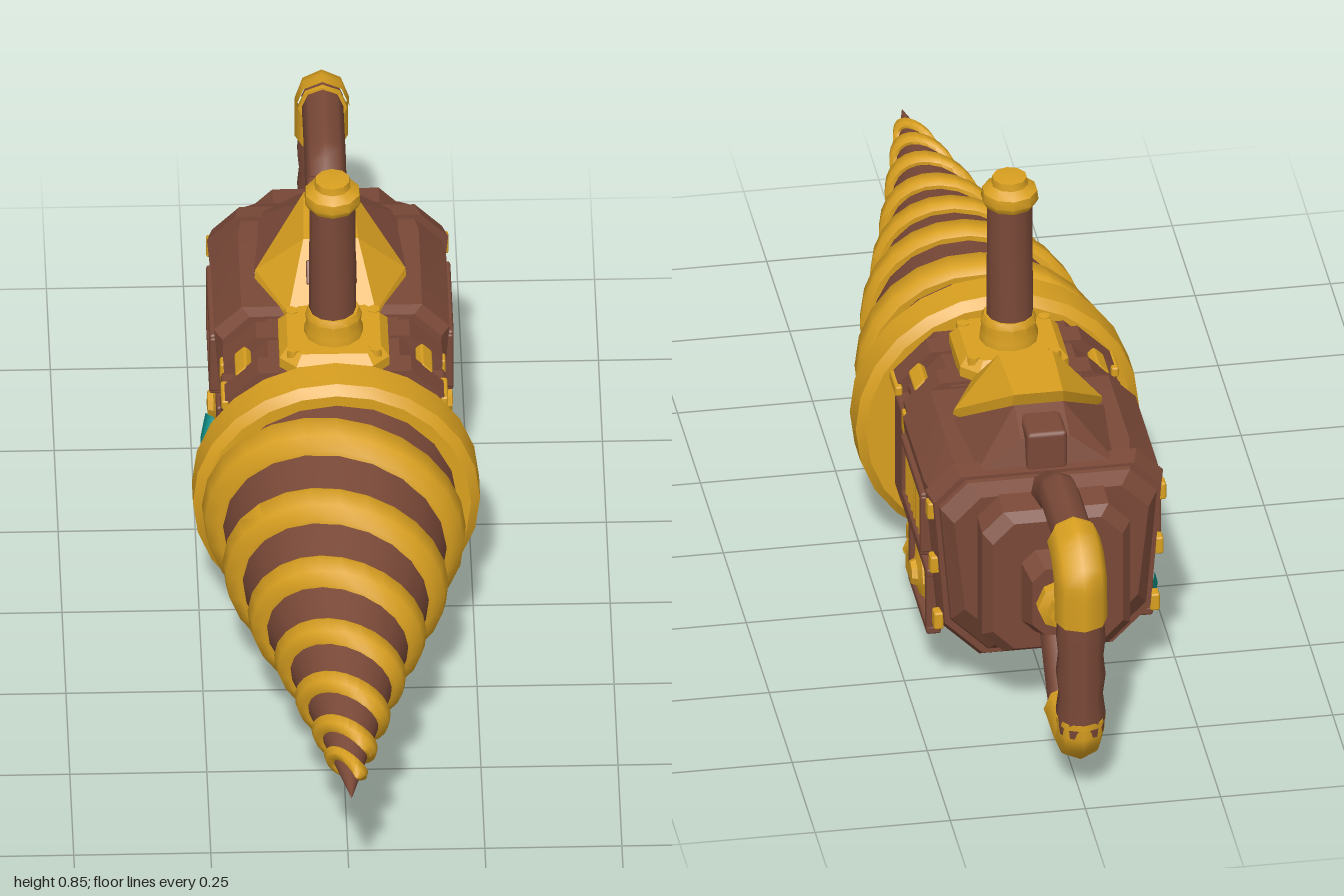
import * as THREE from 'three';
import { toCreasedNormals } from 'three/addons/utils/BufferGeometryUtils.js';
import { RoundedBoxGeometry } from 'three/addons/geometries/RoundedBoxGeometry.js';
import { ConvexGeometry } from 'three/addons/geometries/ConvexGeometry.js';

const V = (x, y, z) => new THREE.Vector3(x, y, z);

// Skin a list of equal-length point rings and cap both ends
function loft(rings, crease) {
  const out = [], n = rings[0].length;
  const tri = (...ps) => ps.forEach(p => out.push(p.x, p.y, p.z));
  for (let i = 0; i < rings.length - 1; i++) {
    for (let j = 0; j < n; j++) {
      const k = (j + 1) % n, A = rings[i], B = rings[i + 1];
      tri(A[j], A[k], B[k]);
      tri(A[j], B[k], B[j]);
    }
  }
  const s = rings[0], e = rings[rings.length - 1];
  for (let j = 1; j < n - 1; j++) {
    tri(s[0], s[j + 1], s[j]);
    tri(e[0], e[j], e[j + 1]);
  }
  const g = new THREE.BufferGeometry();
  g.setAttribute('position', new THREE.Float32BufferAttribute(out, 3));
  return toCreasedNormals(g, crease);
}

// Chamfered rectangle at depth z; inset narrows the lower half
const octagon = ([z, w, y0, y1, c, inset = 0]) => {
  const b = w - inset, d = c + inset;
  return [V(b, y0 + d, z), V(w, y1 - c, z), V(w - c, y1, z), V(c - w, y1, z),
    V(-w, y1 - c, z), V(-b, y0 + d, z), V(d - b, y0, z), V(b - d, y0, z)];
};

// Core radius of the drill along its axis
const core = [[0, 0.227], [0.25, 0.187], [0.4, 0.149], [0.55, 0.105], [0.75, 0.058], [1, 0]];
function coreRadius(z) {
  let i = 1;
  while (i < core.length - 1 && core[i][0] < z) i++;
  const [a, b] = [core[i - 1], core[i]];
  return THREE.MathUtils.mapLinear(z, a[0], b[0], a[1], b[1]);
}

export function createModel() {
  const model = new THREE.Group();
  const material = (name, color) => {
    const m = new THREE.MeshStandardMaterial({ color });
    m.name = name;
    return m;
  };
  const brown = material('brown', 0x7a4938);
  const gold = material('gold', 0xd9a020);
  const teal = material('teal', 0x0b8a82);

  const add = (name, geo, mat, x = 0, y = 0, z = 0, parent = model) => {
    const m = new THREE.Mesh(geo, mat);
    m.name = name;
    m.position.set(x, y, z);
    parent.add(m);
    return m;
  };
  const box = (name, mat, w, h, d, x, y, z, r = 0.008) =>
    add(name, new RoundedBoxGeometry(w, h, d, 1, r), mat, x, y, z);
  const lathe = (name, mat, pts, sides, x, y, z) =>
    add(name, toCreasedNormals(new THREE.LatheGeometry(pts.map(p => new THREE.Vector2(...p)), sides), 0.7), mat, x, y, z);
  const tube = (name, mat, pts, r, sides = 8) => {
    const curve = new THREE.CatmullRomCurve3(pts.map(p => V(...p)), false, 'catmullrom', 0.2);
    return add(name, new THREE.TubeGeometry(curve, 16, r, sides), mat);
  };

  // Drill: tapered core pointing slightly upward
  const drill = new THREE.Group();
  drill.name = 'drill';
  drill.position.set(0, 0.265, 0);
  drill.rotation.x = -0.035;
  model.add(drill);
  const coreGeo = new THREE.LatheGeometry(core.map(([z, r]) => new THREE.Vector2(r, z)), 20);
  add('drillCore', coreGeo, brown, 0, 0, 0, drill).rotation.x = Math.PI / 2;

  // Slanted cutting ridges around the core
  for (const z0 of [0.108, 0.285, 0.44, 0.58, 0.705, 0.81, 0.89]) {
    const s = 1 - 0.68 * z0, w = 0.046 * s, tilt = 1 - 0.3 * z0;
    const sections = [];
    for (let i = 0; i <= 24; i++) {
      const a = -i * Math.PI / 12;
      const z = z0 + tilt * (0.042 * Math.cos(a) + 0.03 * Math.sin(a));
      const at = (dz, dr) => {
        const r = Math.max(0.002, coreRadius(z + dz) + dr);
        return V(Math.cos(a) * r, Math.sin(a) * r, z + dz);
      };
      sections.push([at(-0.6 * w, 0.028 * s), at(0.5 * w, 0.031 * s), at(w, 0.01 * s),
        at(w, -0.02 * s), at(-w, -0.02 * s), at(-w, 0.012 * s)]);
    }
    add('drillRidge', loft(sections, 0.8), gold, 0, 0, 0, drill);
  }

  // Collar behind the drill
  lathe('collar', gold, [[0, -0.055], [0.245, -0.055], [0.262, -0.04], [0.262, 0.025], [0.245, 0.04], [0, 0.04]],
    24, 0, 0.262, 0).rotation.x = Math.PI / 2;

  // Motor housing
  add('housing', loft([[-0.63, 0.18, 0.15, 0.455, 0.05, 0.02], [-0.6, 0.2, 0.115, 0.47, 0.05, 0.02],
    [-0.51, 0.215, 0.055, 0.478, 0.05, 0.025], [-0.28, 0.215, 0.053, 0.478, 0.05, 0.025],
    [-0.26, 0.2, 0.07, 0.47, 0.05, 0.02]].map(octagon), 0.3), brown);
  add('rearPlate', loft([[-0.7, 0.12, 0.17, 0.435, 0.04], [-0.68, 0.137, 0.155, 0.45, 0.04],
    [-0.6, 0.137, 0.155, 0.46, 0.04]].map(octagon), 0.3), brown);
  add('rearHub', loft([[-0.745, 0.055, 0.22, 0.36, 0.025], [-0.69, 0.07, 0.2, 0.38, 0.025]].map(octagon), 0.3), brown);
  add('neck', loft([[-0.27, 0.18, 0.05, 0.465, 0.06], [-0.04, 0.18, 0.05, 0.465, 0.06]].map(octagon), 0.3), brown);
  for (const z of [-0.22, -0.11]) {
    add('neckRib', loft([[z - 0.025, 0.2, 0.035, 0.47, 0.06, 0.02], [z + 0.025, 0.2, 0.035, 0.47, 0.06, 0.02]].map(octagon), 0.3), brown);
  }
  add('housingBand', loft([[-0.59, 0.21, 0.1, 0.477, 0.05, 0.02], [-0.55, 0.22, 0.075, 0.483, 0.05, 0.025]].map(octagon), 0.3), brown);

  // Rear bolt
  lathe('rearBolt', gold, [[0, 0], [0.048, 0], [0.048, 0.03], [0.03, 0.036], [0.03, 0.062], [0, 0.068]],
    8, 0, 0.29, -0.735).rotation.x = -Math.PI / 2;

  // Faceted hood on top, gold in front and brown behind
  const mirrored = pts => pts.flatMap(([x, y, z]) => [V(x, y, z), V(-x, y, z)]);
  const hull = pts => toCreasedNormals(new ConvexGeometry(mirrored(pts)), 0.2);
  add('hood', hull([[0.08, 0.46, -0.25], [0.14, 0.46, -0.36], [0.137, 0.492, -0.375], [0.08, 0.482, -0.252],
    [0.05, 0.582, -0.345], [0.045, 0.582, -0.49], [0.06, 0.46, -0.45]]), gold);
  add('hoodBack', hull([[0.16, 0.46, -0.36], [0.14, 0.46, -0.58], [0.1, 0.495, -0.42], [0.045, 0.56, -0.49],
    [0.08, 0.485, -0.57], [0.045, 0.53, -0.56]]), brown);
  box('hoodBlock', brown, 0.075, 0.08, 0.09, 0, 0.512, -0.54);

  // Front upright handle on its plate
  add('handlePlate', loft([[-0.08, 0.1, -0.09, 0.09, 0.03], [-0.03, 0.1, -0.09, 0.09, 0.03],
    [-0.012, 0.085, -0.075, 0.075, 0.025]].map(octagon), 0.3), gold, 0, 0.52, -0.165).rotation.x = -Math.PI / 2;
  for (const x of [-0.075, 0.075]) for (const z of [-0.225, -0.105]) {
    add('plateBolt', new THREE.CylinderGeometry(0.012, 0.014, 0.02, 6), gold, x, 0.5, z);
  }
  lathe('handleBase', gold, [[0.054, -0.02], [0.054, 0], [0.05, 0.012], [0.052, 0.028], [0.046, 0.04], [0, 0.042]], 12, 0, 0.52, -0.163);
  lathe('uprightGrip', brown, [[0.043, 0], [0.042, 0.25]], 12, -0.002, 0.55, -0.163);
  lathe('handleCap', gold, [[0, 0], [0.046, 0], [0.053, 0.012], [0.051, 0.03], [0.034, 0.042], [0.032, 0.056], [0, 0.06]],
    10, -0.002, 0.793, -0.163);

  // Rear loop handle
  tube('loopTop', brown, [[0, 0.43, -0.58], [0, 0.455, -0.63], [0, 0.498, -0.705], [0, 0.5, -0.78], [0, 0.5, -0.9]], 0.038);
  tube('loopUpperCorner', gold, [[0, 0.497, -0.87], [0, 0.49, -0.91], [0, 0.455, -0.947], [0, 0.38, -0.949]], 0.049);
  lathe('rearGrip', brown, [[0.042, 0], [0.046, 0.04], [0.041, 0.08], [0.046, 0.12], [0.042, 0.16], [0.046, 0.2], [0.042, 0.25]],
    10, 0, 0.14, -0.948);
  tube('loopLowerCorner', gold, [[0, 0.165, -0.949], [0, 0.135, -0.946], [0, 0.106, -0.915], [0, 0.104, -0.815]], 0.044);
  tube('loopBottom', brown, [[0, 0.235, -0.67], [0, 0.2, -0.715], [0, 0.115, -0.79], [0, 0.1, -0.86]], 0.035);
  for (const [r, y] of [[0.049, 0.38], [0.046, 0.165]]) {
    add('gripEnd', new THREE.CylinderGeometry(r, r, 0.012, 8), gold, 0, y, -0.949);
  }
  for (const [y, z] of [[0.497, -0.87], [0.104, -0.815]]) {
    add('cornerEnd', new THREE.CylinderGeometry(0.045, 0.045, 0.01, 8), gold, 0, y, z).rotation.x = Math.PI / 2;
  }

  // Details repeated on both sides
  for (const s of [-1, 1]) {
    // Dark slot on the hood
    box('hoodSlot', brown, 0.022, 0.008, 0.045, s * 0.035, 0.537, -0.303, 0.003).rotation.x = 0.8;

    // Louvre window
    for (const y of [0.28, 0.395]) box('windowRail', brown, 0.03, 0.018, 0.22, s * 0.208, y, -0.405, 0.005);
    for (const z of [-0.302, -0.508]) box('windowPost', brown, 0.03, 0.12, 0.018, s * 0.208, 0.338, z, 0.005);
    for (let i = 0; i < 6; i++) {
      box('louvre', gold, 0.016, 0.095, 0.023, s * 0.209, 0.338, -0.334 - i * 0.0285, 0.004).rotation.y = s * 0.35;
    }

    // Lower access frame with knob
    for (const y of [0.105, 0.225]) box('accessRail', brown, 0.028, 0.018, 0.2, s * 0.196, y, -0.405, 0.005);
    for (const z of [-0.315, -0.495]) box('accessPost', brown, 0.028, 0.125, 0.018, s * 0.196, 0.165, z, 0.005);
    box('knobPlate', gold, 0.018, 0.065, 0.135, s * 0.195, 0.168, -0.405, 0.005);
    lathe('knob', gold, [[0.05, -0.02], [0.046, 0.01], [0.026, 0.016], [0.022, 0.026], [0, 0.028]],
      8, s * 0.197, 0.172, -0.405).rotation.z = -s * Math.PI / 2;

    // Studs along the rear band and the neck
    for (const [x, y] of [[0.2, 0.17], [0.207, 0.29], [0.212, 0.405]]) {
      box('bandStud', gold, 0.018, 0.035, 0.026, s * x, y, -0.57, 0.004);
    }
    for (const [x, y] of [[0.185, 0.15], [0.198, 0.38]]) box('neckStud', gold, 0.016, 0.045, 0.026, s * x, y, -0.22, 0.004);
    for (const [x, y] of [[0.188, 0.21], [0.2, 0.4]]) box('neckClip', gold, 0.014, 0.02, 0.065, s * x, y, -0.115, 0.004);
    box('neckPad', brown, 0.04, 0.2, 0.08, s * 0.185, 0.29, -0.165);
    box('neckTopClip', gold, 0.03, 0.02, 0.07, s * 0.165, 0.435, -0.165, 0.006).rotation.z = -s * 0.78;

    // Lower fittings
    box('lowerFitting', gold, 0.06, 0.075, 0.08, s * 0.165, 0.07, -0.21, 0.018);
    lathe('fittingCap', gold, [[0.03, 0], [0.03, 0.02], [0.018, 0.03], [0, 0.032]], 8, s * 0.165, 0.07, -0.175).rotation.x = Math.PI / 2;
    box('lowerClamp', gold, 0.04, 0.05, 0.05, s * 0.155, 0.06, -0.09, 0.012);
  }

  // Hose from the lower fitting toward the side knob
  tube('hose', teal, [[-0.17, 0.07, -0.235], [-0.19, 0.058, -0.28], [-0.211, 0.066, -0.345],
    [-0.215, 0.092, -0.395], [-0.205, 0.132, -0.42]], 0.022);

  return model;
}
